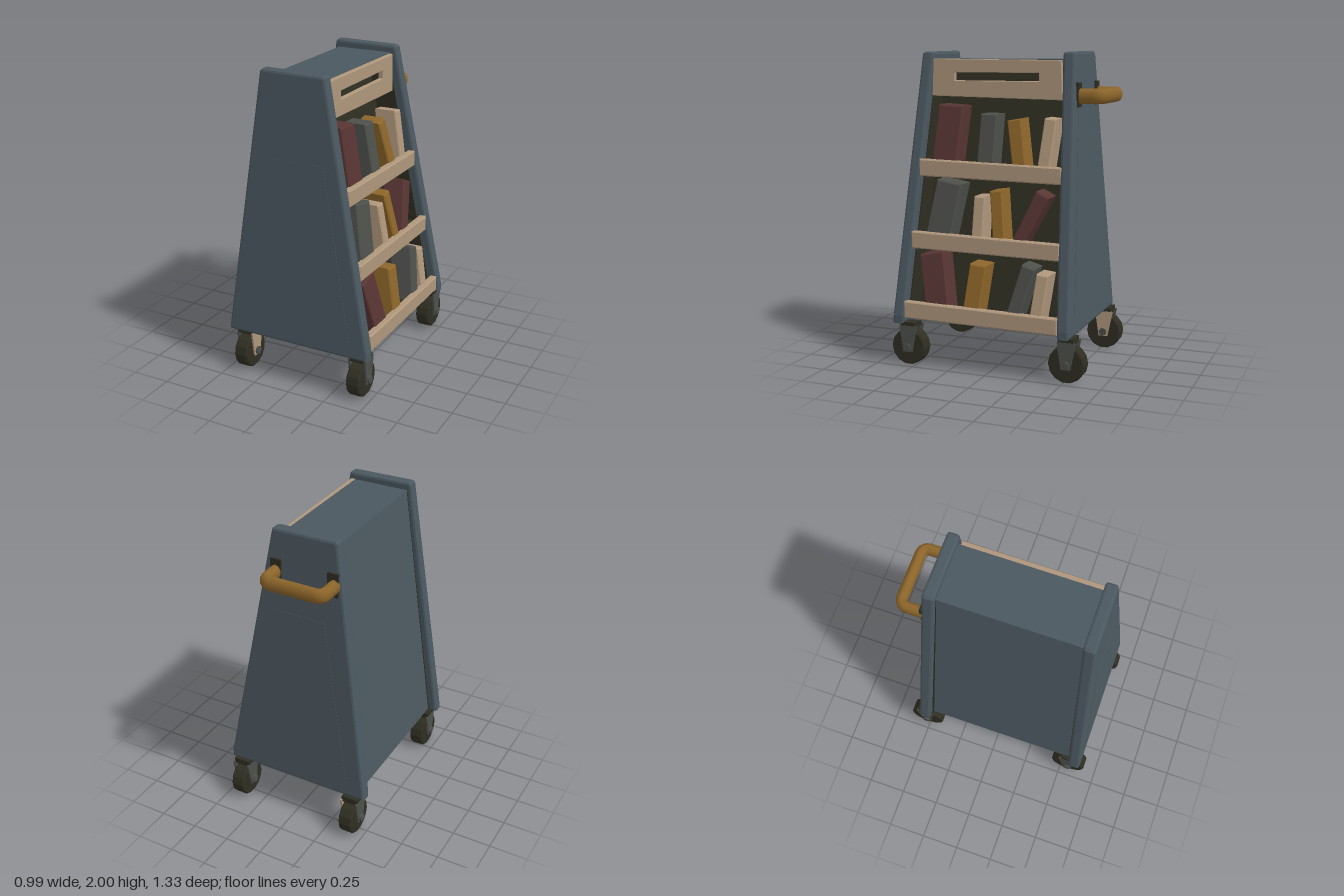
import * as THREE from 'three';

const mat = (name, color) => {
  const m = new THREE.MeshStandardMaterial({ color });
  m.name = name;
  return m;
};

// slanted open side, and inner faces of the two leaning end panels
const edgeX = (y) => 0.49 - (y - 0.3) * 0.19;
const innerFront = (y) => 0.565 - (y - 0.3) * 0.042;
const innerBack = (y) => -0.468 + (y - 0.3) * 0.042;

function polygon(points) {
  return new THREE.Shape(points.map(([x, y]) => new THREE.Vector2(x, y)));
}

function extrude(shape, depth, bevel = 0, segments = 1) {
  return new THREE.ExtrudeGeometry(shape, {
    depth: depth - 2 * bevel, bevelEnabled: bevel > 0, bevelThickness: bevel,
    bevelSize: bevel, bevelOffset: -bevel, bevelSegments: segments,
  }).translate(0, 0, bevel);
}

function warp(geometry, rule) {
  const p = geometry.attributes.position;
  const v = new THREE.Vector3();
  for (let i = 0; i < p.count; i++) {
    v.fromBufferAttribute(p, i);
    rule(v);
    p.setXYZ(i, v.x, v.y, v.z);
  }
  geometry.computeVertexNormals();
  return geometry;
}

export function createModel() {
  const root = new THREE.Group();
  root.name = 'bookCart';
  const blue = mat('slateBlue', 0x4b5860);
  const tan = mat('paleWood', 0xae967b);
  const red = mat('bookRed', 0x573533);
  const ochre = mat('ochre', 0x8c652a);
  const grey = mat('grey', 0x4d4f4b);
  const dark = mat('darkOlive', 0x2f2e22);

  function add(name, geometry, material, parent = root) {
    const mesh = new THREE.Mesh(geometry, material);
    mesh.name = name;
    parent.add(mesh);
    return mesh;
  }

  // end panels: bevelled trapezoids that lean inwards, with a shallow raised plate
  const outline = [[-0.495, 0.28], [0.49, 0.28], [0.49, 0.33], [0.17, 1.985], [0.155, 1.995], [-0.25, 2], [-0.265, 1.985], [-0.495, 0.31]];
  const plate = [[-0.37, 0.36], [0.37, 0.36], [0.17, 1.47], [-0.19, 1.47]];
  for (const [name, front] of [['frontPanel', true], ['backPanel', false]]) {
    const lean = (v) => {
      v.z += front ? 0.562 - (v.y - 0.28) * 0.046 : -0.545 + (v.y - 0.28) * 0.046;
    };
    add(name, warp(extrude(polygon(outline), 0.078, 0.016, 2), lean), blue);
    const inset = extrude(polygon(plate), 0.006).translate(0, 0, front ? 0.074 : -0.002);
    add(name + 'Plate', warp(inset, lean), blue);
  }

  // pieces that run between the end panels; t0 to t1 is the share of the gap they fill
  const span = (name, points, material, t0 = -0.01, t1 = 1.01) =>
    add(name, warp(extrude(polygon(points), 1), (v) => {
      v.z = THREE.MathUtils.lerp(innerBack(v.y), innerFront(v.y), t0 + v.z * (t1 - t0));
    }), material);

  // base, closed side and lid in one section
  span('bodyShell', [[-0.44, 0.3], [0.445, 0.3], [0.44, 0.33], [-0.4, 0.33], [-0.21, 1.91],
    [0.13, 1.91], [0.13, 1.95], [-0.238, 1.95]], blue);
  const at = (y, inset) => [edgeX(y) - inset, y];
  span('shelfBacking', [at(0.33, 0.23), at(0.33, 0.21), at(1.91, 0.21), at(1.91, 0.23)], dark);
  // dark seams beside the panels, and dark linings inside the shelves
  for (const [t0, t1] of [[-0.01, 0.014], [0.986, 1.01]]) {
    span('sideSeam', [[-0.443, 0.3], [-0.42, 0.3], [-0.22, 1.94], [-0.241, 1.94]], dark, t0, t1);
    span('shelfLining', [at(0.33, 0.215), at(0.33, 0.06), at(1.9, 0.06), at(1.9, 0.215)], dark, t0, t1);
  }

  // boards and books are drawn in the side plane and turned to face +x
  const side = (points) => polygon(points.map(([z, y]) => [-z, y]));
  const facing = (shape, depth, bevel) => extrude(shape, depth, bevel).rotateY(Math.PI / 2);

  // upright header board with a long slot
  const header = side([[0.5, 1.715], [-0.385, 1.7], [-0.375, 1.945], [0.49, 1.952]]);
  header.holes.push(new THREE.Path([[0.34, 1.815], [0.34, 1.865], [-0.23, 1.865], [-0.23, 1.815]]
    .map(([z, y]) => new THREE.Vector2(-z, y))));
  add('headerBoard', facing(header, 0.032, 0.004).translate(0.128, 0, 0), tan);

  // shelves, lips and books: [material, z at top, z at lip, width, top height]
  const shelves = [
    { y: 1.21, books: [[red, 0.345, 0.365, 0.17, 1.66], [grey, 0.08, 0.085, 0.11, 1.61],
      [ochre, -0.09, -0.14, 0.09, 1.58], [tan, -0.33, -0.305, 0.08, 1.59]] },
    { y: 0.755, books: [[grey, 0.32, 0.37, 0.17, 1.18], [tan, 0.105, 0.105, 0.075, 1.1],
      [ochre, 0, -0.04, 0.08, 1.14], [red, -0.31, -0.18, 0.085, 1.13]] },
    { y: 0.315, books: [[red, 0.41, 0.35, 0.16, 0.73], [ochre, 0.085, 0.11, 0.11, 0.68],
      [grey, -0.25, -0.175, 0.09, 0.69], [tan, -0.345, -0.32, 0.08, 0.65]] },
  ];
  for (const { y, books } of shelves) {
    const f = innerFront(y), b = innerBack(y);
    const board = side([[f, y], [b, y - 0.015], [b, y + 0.09], [f, y + 0.11]]);
    add('shelfLip', facing(board, 0.05, 0.008).translate(edgeX(y + 0.04) - 0.05, 0, 0), tan);
    span('shelfFloor', [at(y + 0.015, 0.215), at(y + 0.015, 0.04), at(y + 0.045, 0.04), at(y + 0.045, 0.215)], dark);
    const lip = y + 0.1, foot = y + 0.04;
    for (const [material, zTop, zLip, w, top] of books) {
      const zFoot = zLip + (zLip - zTop) * (lip - foot) / (top - lip);
      const tilt = (zTop - zLip) / (top - lip) * w / 2;
      const cover = side([[zFoot + w / 2, foot], [zFoot - w / 2, foot],
        [zTop - w / 2, top + tilt], [zTop + w / 2, top - tilt]]);
      // books lean back along the slanted opening
      add('book', warp(facing(cover, 0.15, 0.008), (v) => { v.x += edgeX(v.y) - 0.172; }), material);
    }
  }

  // push handle on the back
  const corner = 0.05, x0 = -0.255, x1 = 0.135, zIn = -0.455, zOut = -0.627;
  const V = (x, z) => new THREE.Vector3(x, 0, z);
  const path = new THREE.CurvePath();
  path.add(new THREE.LineCurve3(V(x0, zIn), V(x0, zOut + corner)));
  path.add(new THREE.QuadraticBezierCurve3(V(x0, zOut + corner), V(x0, zOut), V(x0 + corner, zOut)));
  path.add(new THREE.LineCurve3(V(x0 + corner, zOut), V(x1 - corner, zOut)));
  path.add(new THREE.QuadraticBezierCurve3(V(x1 - corner, zOut), V(x1, zOut), V(x1, zOut + corner)));
  path.add(new THREE.LineCurve3(V(x1, zOut + corner), V(x1, zIn)));
  const handle = add('handle', new THREE.TubeGeometry(path, 48, 0.035, 10), ochre);
  handle.scale.y = 1.35;
  handle.position.y = 1.727;
  for (const x of [-0.245, 0.135]) {
    add('handleMount', new THREE.BoxGeometry(0.07, 0.15, 0.03).translate(x, 1.735, -0.475), dark);
  }

  // casters at the four corners
  const tyre = new THREE.LatheGeometry([[0.02, -0.046], [0.108, -0.046], [0.117, -0.038], [0.117, 0.038], [0.108, 0.046], [0.02, 0.046]]
    .map(([r, h]) => new THREE.Vector2(r, h)), 14).rotateZ(Math.PI / 2).toNonIndexed();
  tyre.computeVertexNormals();
  const arm = polygon([[-0.03, -0.03], [0.03, -0.03], [0.065, 0.14], [-0.055, 0.14]]);
  for (const x of [-0.405, 0.405]) {
    for (const z of [0.55, -0.515]) {
      const caster = new THREE.Group();
      caster.name = 'caster';
      caster.position.set(x, 0.119, z);
      root.add(caster);
      add('wheel', tyre, dark, caster);
      add('axle', new THREE.CylinderGeometry(0.026, 0.026, 0.145, 8).rotateZ(Math.PI / 2), grey, caster);
      add('forkTop', new THREE.BoxGeometry(0.112, 0.04, 0.1).translate(0, 0.145, 0), dark, caster);
      for (const s of [-1, 1]) {
        const paleArm = x < 0 && s > 0;
        add('forkArm', facing(arm, 0.012).translate(s * 0.053 - 0.006, 0, 0), paleArm ? tan : grey, caster);
      }
    }
  }
  return root;
}
